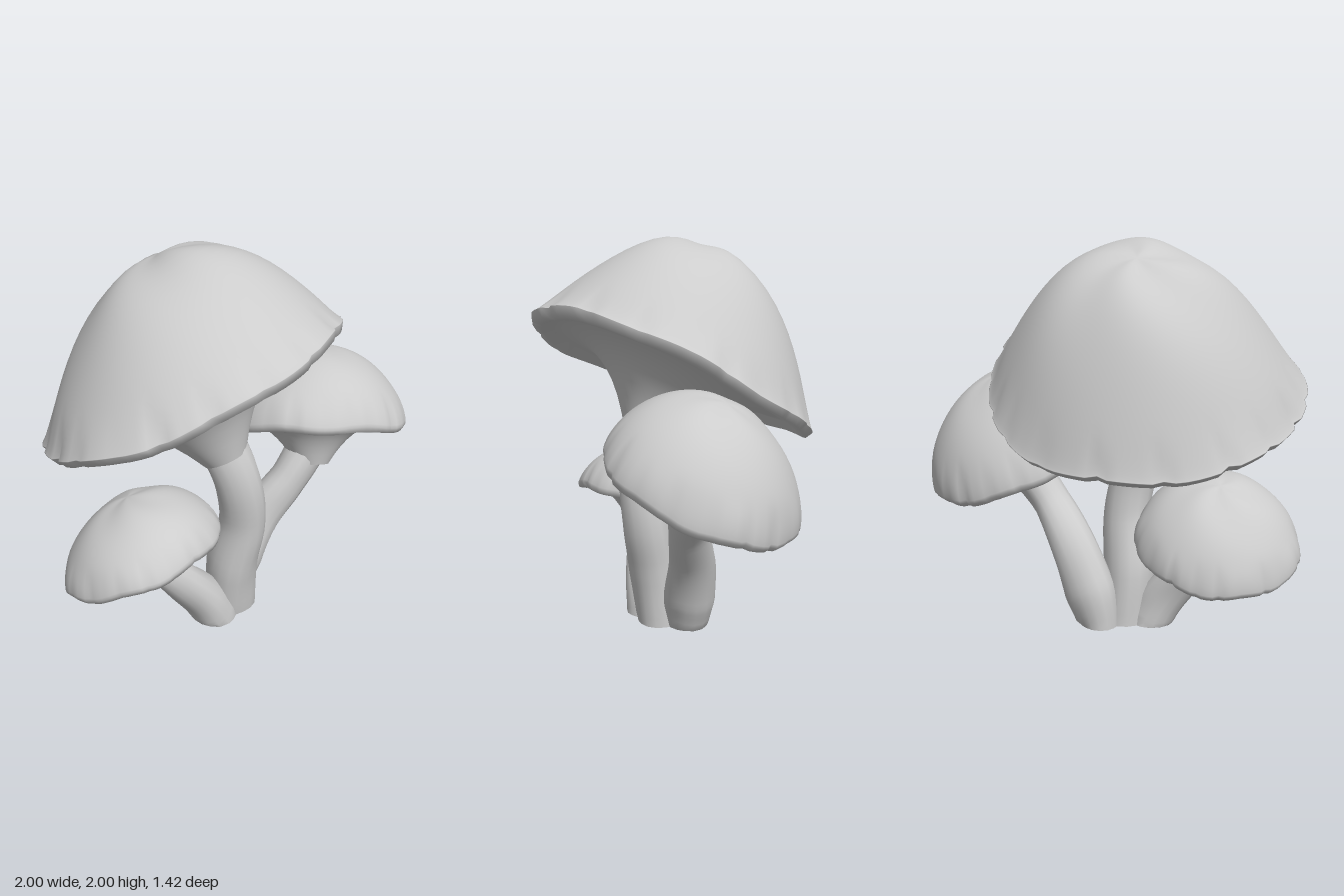
import * as THREE from 'three';
import { mergeVertices } from 'three/addons/utils/BufferGeometryUtils.js';

const UP = new THREE.Vector3(0, 1, 0);

// Weld the seam and give the surface smooth normals
function smooth(geometry) {
  geometry.deleteAttribute('uv');
  geometry.deleteAttribute('normal');
  const welded = mergeVertices(geometry, 1e-5);
  welded.computeVertexNormals();
  return welded;
}

// Cross-section by rule: gill funnel, rolled lip, then a crown that is round or bell-shaped
function capProfile({ radius, height, neck, depth, flat, bell }) {
  const points = [];
  for (let i = 0; i <= 10; i++) {
    const q = i / 10;
    points.push(new THREE.Vector2(
      THREE.MathUtils.lerp(neck, 0.85 * radius, q),
      -depth * Math.pow(1 - q, 2.6),
    ));
  }
  points.push(new THREE.Vector2(0.91 * radius, -0.05 * radius));
  points.push(new THREE.Vector2(0.97 * radius, -0.05 * radius));
  for (let i = 0; i <= 20; i++) {
    const s = i === 20 ? 0 : Math.cos((i / 20) * Math.PI / 2);
    points.push(new THREE.Vector2(radius * s, height * Math.pow(1 - Math.pow(s, flat), bell)));
  }
  return points;
}

// Tilted cap with a nicked lip, soft dents and a crown that leans off its axis
function makeCap(name, cap, material) {
  const { radius, height, phase, lumps, lean, warp } = cap;
  const geometry = new THREE.LatheGeometry(capProfile(cap), 96);
  const pos = geometry.attributes.position;
  const v = new THREE.Vector3();
  for (let i = 0; i < pos.count; i++) {
    v.fromBufferAttribute(pos, i);
    const r = Math.hypot(v.x, v.z) / radius;
    const a = Math.atan2(v.z, v.x);
    const edge = THREE.MathUtils.smoothstep(r, 0.84, 1);
    const wave = Math.cos(19 * a + 1.7 * Math.sin(2 * a + phase) + phase);
    const nick = 0.03 * Math.pow(Math.max(0, wave), 8);
    const k = 1 + edge * (0.008 * Math.sin(5 * a + phase) - nick);
    const rise = Math.max(0, v.y) / height;
    v.x = v.x * k + lean[0] * rise;
    v.z = v.z * k + lean[1] * rise;
    v.y += lumps * rise * Math.sin(Math.PI * r) * Math.sin(4 * a + phase + 5 * r);
    v.y += warp * r * r * Math.sin(2 * a) + edge * 0.008 * Math.sin(7 * a + phase);
    pos.setXYZ(i, v.x, v.y, v.z);
  }
  const mesh = new THREE.Mesh(smooth(geometry), material);
  mesh.name = name;
  mesh.position.set(...cap.center);
  mesh.quaternion.setFromUnitVectors(UP, new THREE.Vector3(...cap.normal).normalize());
  return mesh;
}

// Bent stem: each path point is x, y, z, radius
function makeStem(name, path, material) {
  const curve = new THREE.CatmullRomCurve3(path.map(([x, y, z]) => new THREE.Vector3(x, y, z)));
  const rings = 24, sides = 16;
  const geometry = new THREE.TubeGeometry(curve, rings, 1, sides, false);
  const pos = geometry.attributes.position;
  const v = new THREE.Vector3();
  for (let i = 0; i <= rings; i++) {
    const t = curve.getUtoTmapping(i / rings) * (path.length - 1);
    const n = Math.min(Math.floor(t), path.length - 2);
    const radius = THREE.MathUtils.lerp(path[n][3], path[n + 1][3], t - n);
    const mid = curve.getPointAt(i / rings);
    for (let j = 0; j <= sides; j++) {
      const id = i * (sides + 1) + j;
      const a = (j % sides) / sides * Math.PI * 2;
      const ridge = 1 + 0.05 * Math.sin(3 * a + i * 0.25);
      v.fromBufferAttribute(pos, id).sub(mid).multiplyScalar(radius * ridge).add(mid);
      pos.setXYZ(id, v.x, i === 0 ? 0 : Math.max(v.y, 0), v.z);
    }
  }
  const tube = new THREE.Mesh(smooth(geometry), material);
  tube.name = name + 'Body';
  // flat foot
  const foot = new THREE.Mesh(new THREE.CircleGeometry(path[0][3], sides), material);
  foot.name = name + 'Foot';
  foot.rotation.x = Math.PI / 2;
  foot.position.set(path[0][0], 0.001, path[0][2]);
  const group = new THREE.Group();
  group.name = name;
  group.add(tube, foot);
  return group;
}

export function createModel() {
  const material = new THREE.MeshStandardMaterial({ color: 0xcccccc });
  material.name = 'paleGrey';
  const model = new THREE.Group();
  model.name = 'mushroomCluster';

  const addMushroom = (size, cap, path) => {
    const group = new THREE.Group();
    group.name = size + 'Mushroom';
    group.add(makeCap(size + 'Cap', cap, material), makeStem(size + 'Stem', path, material));
    model.add(group);
  };

  addMushroom('large', {
    center: [-0.22, 1.3, 0.01], normal: [-0.19, 1, -0.48], radius: 0.785, height: 0.65,
    neck: 0.11, depth: 0.39, flat: 2.5, bell: 1.2, lean: [0.08, 0.05], warp: 0.035,
    lumps: 0.014, phase: 0.6,
  }, [
    [-0.08, 0, 0.11, 0.13], [-0.085, 0.28, 0.14, 0.135], [-0.055, 0.56, 0.19, 0.12],
    [-0.1, 0.83, 0.2, 0.115], [-0.18, 1.1, 0.11, 0.12],
  ]);

  addMushroom('medium', {
    center: [0.515, 0.88, 0.05], normal: [0.28, 1, -0.36], radius: 0.495, height: 0.42,
    neck: 0.09, depth: 0.22, flat: 2, bell: 0.64, lean: [-0.02, 0.05], warp: 0,
    lumps: 0.004, phase: 2.1,
  }, [
    [0.02, 0, -0.01, 0.11], [0.07, 0.17, -0.01, 0.135], [0.18, 0.4, 0.01, 0.118],
    [0.34, 0.61, 0.07, 0.1], [0.48, 0.78, 0.08, 0.11],
  ]);

  addMushroom('small', {
    center: [-0.585, 0.5, 0.06], normal: [-0.2, 1, -0.36], radius: 0.415, height: 0.315,
    neck: 0.075, depth: 0.16, flat: 2, bell: 0.62, lean: [0.03, 0.04], warp: 0,
    lumps: 0.005, phase: 4.2,
  }, [
    [-0.2, 0, 0.14, 0.125], [-0.27, 0.13, 0.14, 0.115], [-0.39, 0.28, 0.13, 0.1],
    [-0.5, 0.4, 0.11, 0.085], [-0.57, 0.46, 0.08, 0.085],
  ]);

  return model;
}
